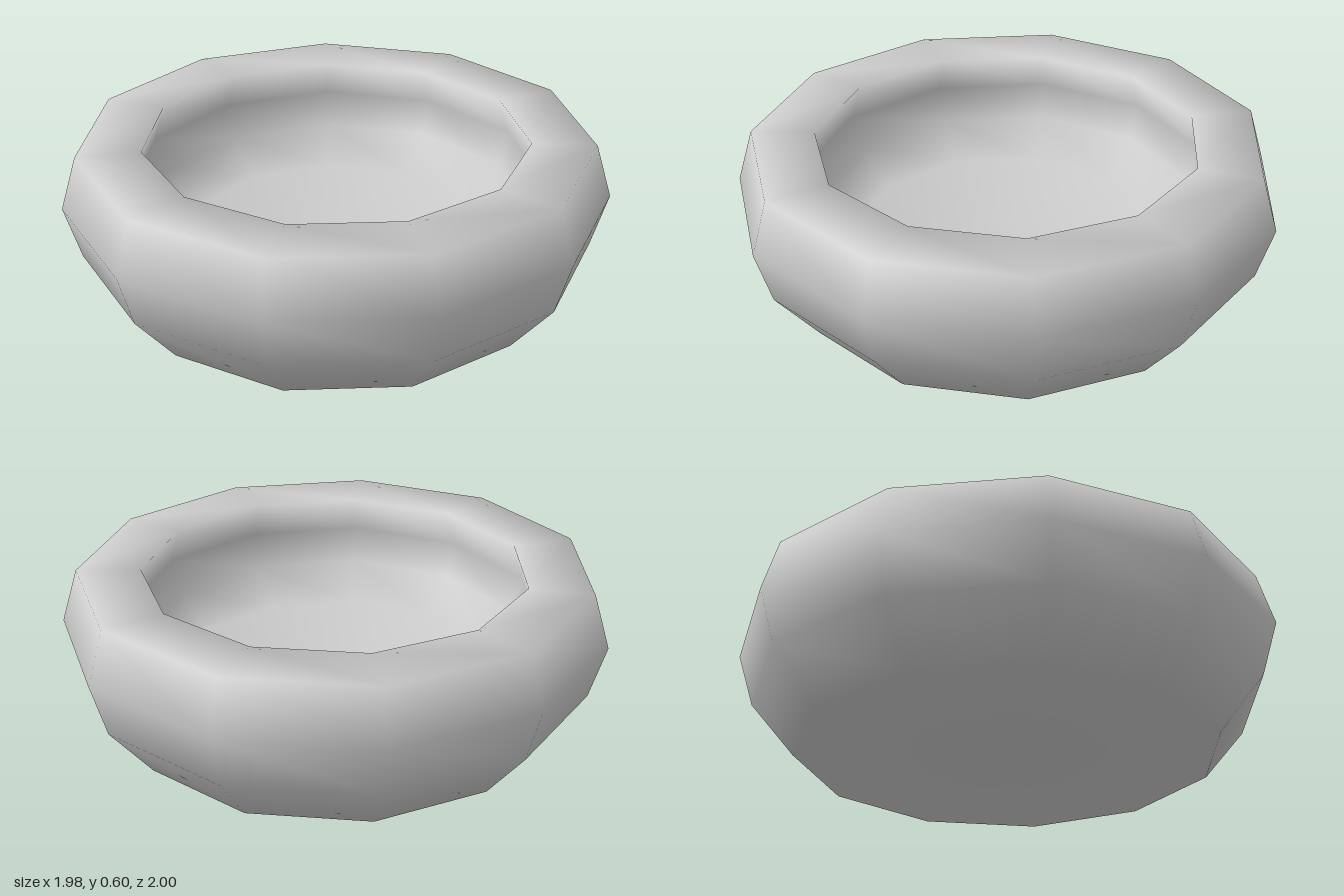
import * as THREE from 'three';
import { mergeVertices } from 'three/addons/utils/BufferGeometryUtils.js';

const SIDES = 11;
const INNER = 0.75; // inner wall radius relative to the outer wall

export function createModel() {
  const group = new THREE.Group();
  group.name = 'bowl';

  // Closed profile: underside, bulging outer wall, flat rim, inner wall, floor
  const radii = [0.786, 0.95, 1.01, 0.95];
  const outerY = [0, 0.2, 0.4, 0.6];
  const innerY = [0.2, 0.33, 0.46, 0.6];
  const outer = radii.map((r, i) => new THREE.Vector2(r, outerY[i]));
  const inner = radii.map((r, i) => new THREE.Vector2(r * INNER, innerY[i])).reverse();
  const profile = [new THREE.Vector2(0, 0), ...outer, ...inner, new THREE.Vector2(0, 0.2)];

  // Few sides, one corner on +x, with normals smoothed over the whole surface
  const lathe = new THREE.LatheGeometry(profile, SIDES, Math.PI / 2);
  lathe.deleteAttribute('normal');
  lathe.deleteAttribute('uv');
  const geometry = mergeVertices(lathe, 1e-4);
  geometry.computeVertexNormals();
  geometry.translate(-0.02, 0, 0);

  const bowl = new THREE.Mesh(geometry, new THREE.MeshStandardMaterial({ color: 0xcccccc }));
  bowl.name = 'bowlBody';
  group.add(bowl);
  return group;
}
